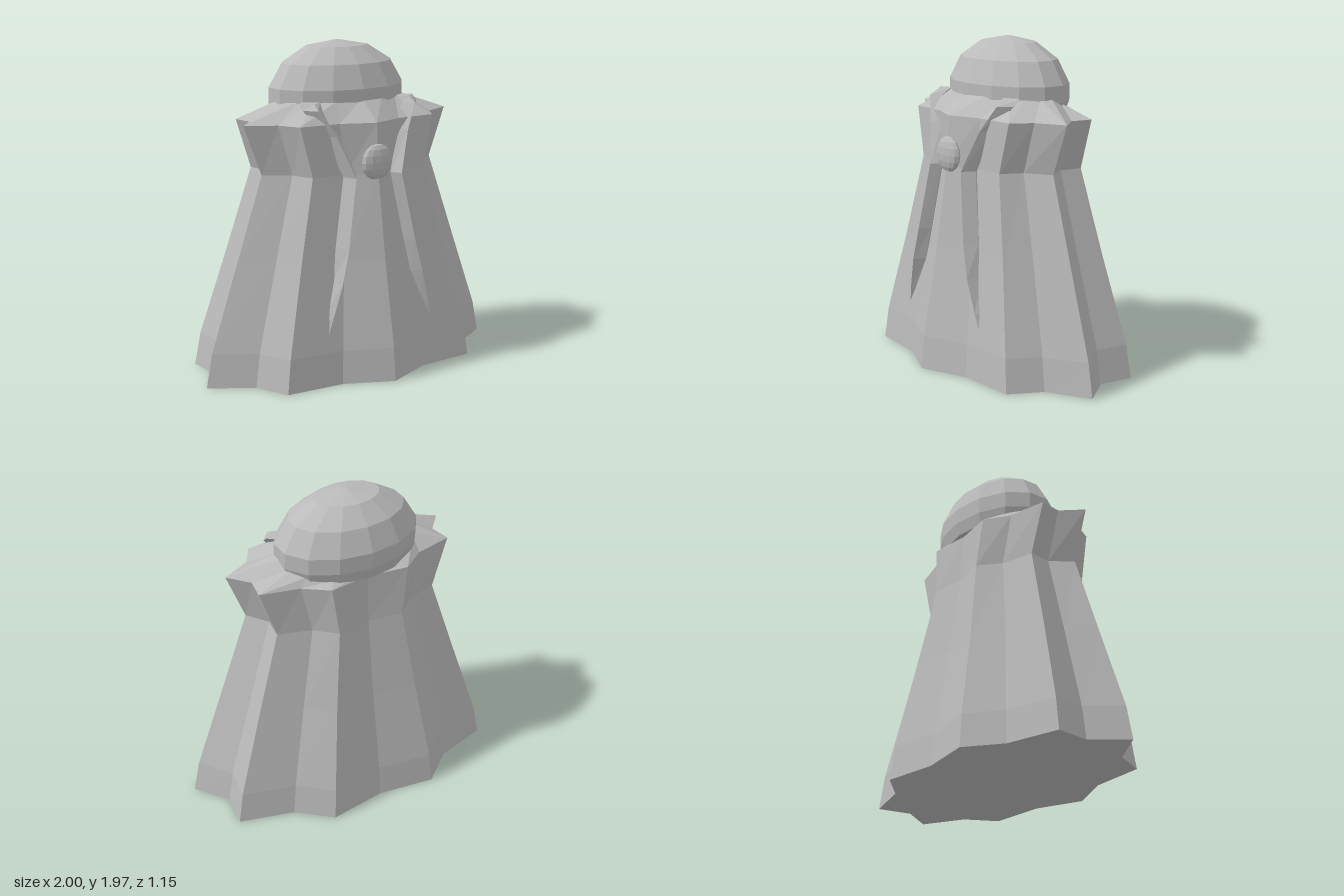
import * as THREE from 'three';

const stone = new THREE.MeshStandardMaterial({ color: 0xbababa });
stone.name = 'grey stone';

// Give every facet its own flat normal
function facet(geometry) {
  const g = geometry.index ? geometry.toNonIndexed() : geometry;
  g.computeVertexNormals();
  return g;
}

function addMesh(parent, name, geometry) {
  const mesh = new THREE.Mesh(facet(geometry), stone);
  mesh.name = name;
  parent.add(mesh);
  return mesh;
}

// Skin a stack of rings, bottom to top, each counter-clockwise from above
function loft(rings) {
  const n = rings[0].length;
  const pos = [];
  const tri = (a, b, c) => pos.push(...a, ...b, ...c);
  for (let r = 0; r < rings.length - 1; r++) {
    for (let i = 0; i < n; i++) {
      const j = (i + 1) % n;
      const lo = rings[r], hi = rings[r + 1];
      tri(lo[i], lo[j], hi[j]);
      tri(lo[i], hi[j], hi[i]);
    }
  }
  const middle = (ring) => [0, 1, 2].map((k) => ring.reduce((s, p) => s + p[k], 0) / n);
  const first = rings[0], last = rings[rings.length - 1];
  const c0 = middle(first), c1 = middle(last);
  for (let i = 0; i < n; i++) {
    const j = (i + 1) % n;
    tri(c0, first[j], first[i]);
    tri(c1, last[i], last[j]);
  }
  const g = new THREE.BufferGeometry();
  g.setAttribute('position', new THREE.Float32BufferAttribute(pos, 3));
  return g;
}

// Pleated hem outline: the +x half from front to back, then mirrored
const half = [[0, 0.575], [0.29, 0.45], [0.65, 0.43], [0.75, 0.23], [1, 0.085],
  [0.85, -0.11], [0.88, -0.32], [0.55, -0.41], [0.35, -0.575], [0, -0.525]];
const hem = [...half, ...half.slice(1, -1).reverse().map(([x, z]) => [-x, z])];

const head = { rx: 0.446, rz: 0.302, z: -0.08 };

function robeGeometry() {
  // height, width scale, depth scale
  const levels = [[0, 1, 1], [0.2, 0.96, 0.965], [0.72, 0.776, 0.795], [1.22, 0.6, 0.66], [1.52, 0.714, 0.63]];
  const rings = levels.map(([y, sx, sz]) => hem.map(([x, z]) => [x * sx, y, z * sz]));
  // Collar closes in on the head and drops towards the back
  rings.push(rings[4].map(([x, , z]) => {
    const a = Math.atan2(x / head.rx, (z - head.z) / head.rz);
    const iz = Math.max(head.z + Math.cos(a) * head.rz * 0.94, -0.31);
    const y = iz > -0.1 ? 1.63 + 0.015 * Math.max(0, iz / 0.2) : 1.61 + (iz + 0.1) * 0.3;
    return [Math.sin(a) * head.rx * 0.94, y, iz];
  }));
  return loft(rings);
}

// Raised fold: y, inner x, ridge x, outer x, ridge z, edge z
const foldStations = [
  [0.25, 0.378, 0.38, 0.382, 0.405, 0.4],
  [0.4, 0.305, 0.34, 0.375, 0.425, 0.38],
  [0.6, 0.24, 0.285, 0.31, 0.44, 0.375],
  [0.8, 0.195, 0.235, 0.275, 0.43, 0.365],
  [1.21, 0.12, 0.16, 0.2, 0.39, 0.33],
  [1.45, 0.2, 0.25, 0.29, 0.32, 0.27],
  [1.6, 0.28, 0.34, 0.4, 0.265, 0.21],
  [1.635, 0.27, 0.33, 0.4, 0.21, 0.17],
];

function foldGeometry(side) {
  return loft(foldStations.map(([y, inner, ridge, outer, zr, ze]) => {
    const ring = [[inner, ze], [ridge, zr], [outer, ze - 0.02], [ridge, ze - 0.08]]
      .map(([x, z]) => [side * x, y, z]);
    return side > 0 ? ring : ring.reverse();
  }));
}

export function createModel() {
  const model = new THREE.Group();
  model.name = 'cloakedFigure';

  addMesh(model, 'robe', robeGeometry());

  // Faceted oval dome
  const profile = [[0, 1.525], [0.93, 1.525], [1, 1.6], [1, 1.7], [0.81, 1.84], [0.46, 1.935], [0, 1.97]]
    .map(([r, y]) => new THREE.Vector2(r, y));
  const dome = new THREE.LatheGeometry(profile, 14);
  dome.scale(head.rx, 1, head.rz).translate(0, 0, head.z);
  addMesh(model, 'hoodDome', dome);

  addMesh(model, 'leftFold', foldGeometry(1));
  addMesh(model, 'rightFold', foldGeometry(-1));

  // Flattened clasp on the chest
  const clasp = new THREE.SphereGeometry(1, 12, 8);
  clasp.scale(0.107, 0.107, 0.04).translate(0, 1.29, 0.365);
  addMesh(model, 'clasp', clasp);

  return model;
}
